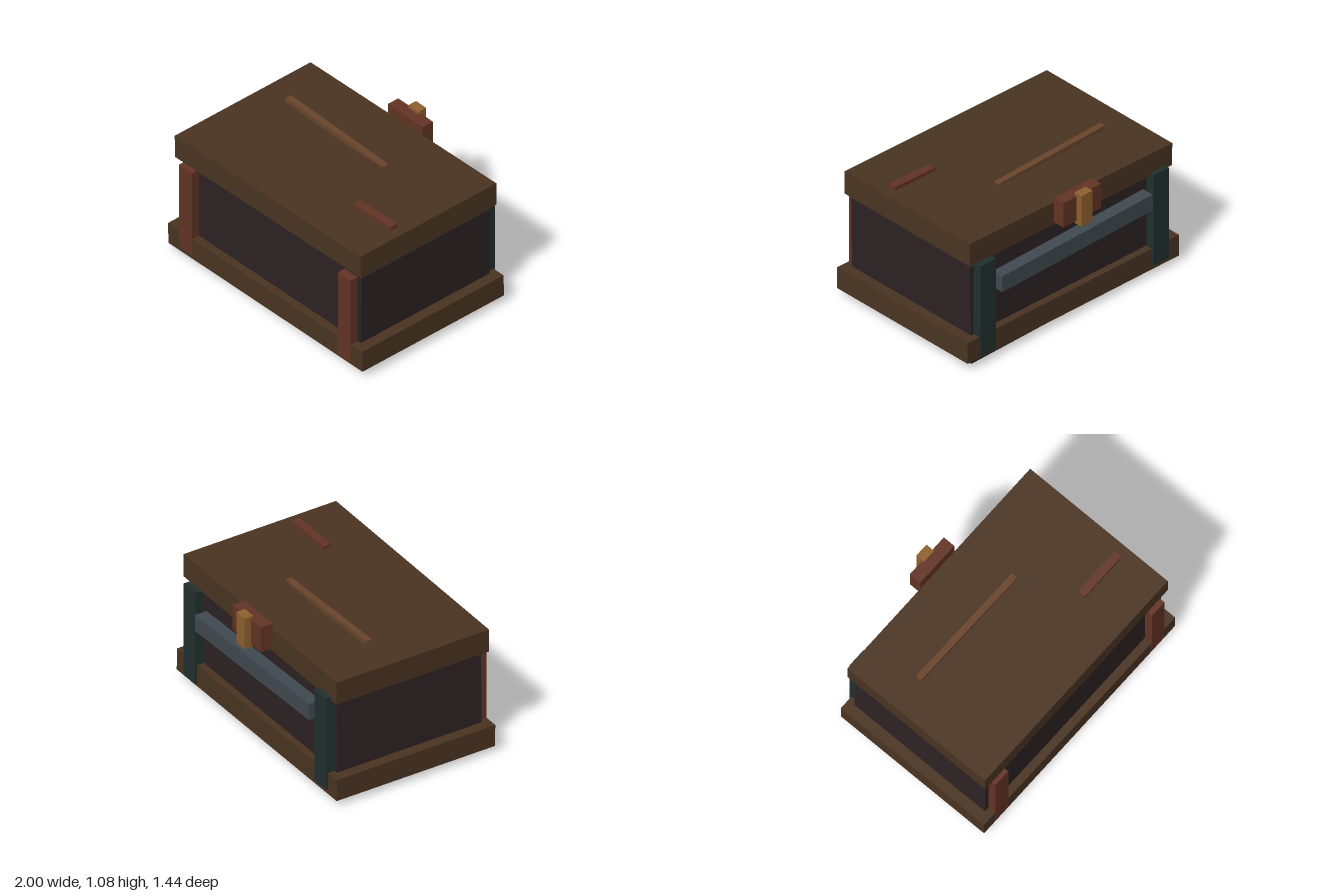
import * as THREE from 'three';

function material(name, color) {
  const m = new THREE.MeshStandardMaterial({ color });
  m.name = name;
  return m;
}

export function createModel() {
  const model = new THREE.Group();
  model.name = 'crookedChest';

  const darkWood = material('darkWood', 0x2d2223);
  const brownWood = material('brownWood', 0x4a3422);
  const redWood = material('redWood', 0x633425);
  const lightWood = material('lightWood', 0x6a452b);
  const darkIron = material('darkIron', 0x20302f);
  const steel = material('steel', 0x404a50);
  const brass = material('brass', 0x8f602e);

  // One board: centre, size and a slight tilt about z
  function board(name, mat, [x, y, z], [w, h, d], tilt = 0) {
    const mesh = new THREE.Mesh(new THREE.BoxGeometry(w, h, d), mat);
    mesh.name = name;
    mesh.position.set(x, y, z);
    mesh.rotation.z = tilt;
    model.add(mesh);
  }

  // Main box, base band and lid, each knocked a little askew
  board('body', darkWood, [0, 0.413, 0.0625], [1.835, 0.795, 1.185], -0.0136);
  board('baseBand', brownWood, [0, 0.145, 0.065], [1.998, 0.17, 1.3], 0.01);
  board('lid', brownWood, [-0.003, 0.91, 0.065], [1.912, 0.18, 1.25], 0.021);

  // Corner posts
  for (const [side, s] of [['left', 1], ['right', -1]]) {
    board(`${side}FrontPost`, redWood, [s * 0.817, 0.44, 0.6675], [0.132, 0.7, 0.105]);
    board(`${side}BackPost`, darkIron, [s * 0.817, 0.459, -0.5475], [0.146, 0.738, 0.105]);
  }

  // Rail across the back
  board('backRail', steel, [-0.002, 0.6225, -0.573], [1.424, 0.13, 0.104], -0.0176);

  // Clasp behind the lid
  board('claspPlate', redWood, [-0.003, 0.955, -0.6225], [0.356, 0.2, 0.095]);
  board('claspTongue', brass, [-0.002, 0.954, -0.685], [0.105, 0.25, 0.07]);

  // Patch strips on the lid
  board('longPatch', lightWood, [-0.208, 1.015, -0.13], [1.005, 0.035, 0.048], -0.025);
  board('shortPatch', redWood, [0.677, 1.02, 0.308], [0.382, 0.045, 0.063], 0.035);

  return model;
}
